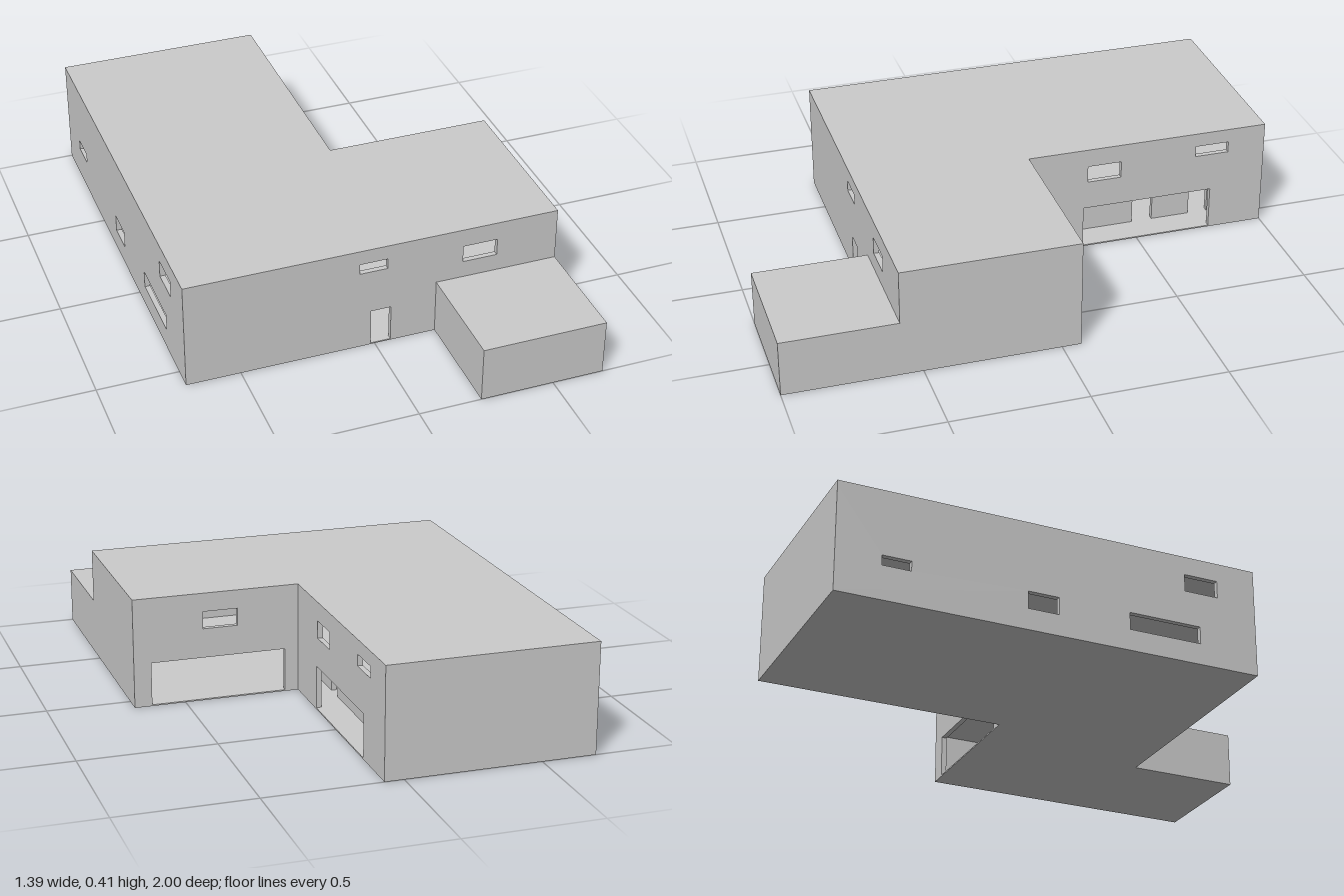
import * as THREE from 'three';

const T = 0.02;          // wall thickness
const FLOOR = 0.005, SLAB = 0.19, EAVES = 0.39, TOP = 0.41;
const mat = new THREE.MeshStandardMaterial({ color: 0xcccccc, flatShading: true });

// Flat wall outline from a to b; openings [a0, a1, y0, y1] with y0 = 0 become doorways
function wallGeometry(a, b, y0, y1, openings) {
  const shape = new THREE.Shape();
  shape.moveTo(a, y0);
  openings.filter(o => o[2] === 0).sort((p, q) => p[0] - q[0]).forEach(([l, r, , h]) => {
    shape.lineTo(l, y0);
    shape.lineTo(l, h);
    shape.lineTo(r, h);
    shape.lineTo(r, y0);
  });
  shape.lineTo(b, y0);
  shape.lineTo(b, y1);
  shape.lineTo(a, y1);
  shape.closePath();
  openings.filter(o => o[2] > 0).forEach(([l, r, lo, hi]) => {
    const hole = new THREE.Path();
    hole.moveTo(l, lo);
    hole.lineTo(l, hi);
    hole.lineTo(r, hi);
    hole.lineTo(r, lo);
    hole.closePath();
    shape.holes.push(hole);
  });
  return new THREE.ExtrudeGeometry(shape, { depth: T, bevelEnabled: false });
}

// L-shaped plate, pulled in from the outer walls by inset
function plateGeometry(inset, thickness) {
  const i = inset;
  const outline = [
    [-0.7 + i, -1 + i], [0.07 - i, -1 + i], [0.07 - i, -0.07 + i],
    [0.69 - i, -0.07 + i], [0.69 - i, 0.58 - i], [-0.7 + i, 0.58 - i],
  ];
  const shape = new THREE.Shape(outline.map(([x, z]) => new THREE.Vector2(x, -z)));
  return new THREE.ExtrudeGeometry(shape, { depth: thickness, bevelEnabled: false }).rotateX(-Math.PI / 2);
}

export function createModel() {
  const model = new THREE.Group();
  model.name = 'house';

  const add = (name, geometry, x = 0, y = 0, z = 0) => {
    const mesh = new THREE.Mesh(geometry, mat);
    mesh.name = name;
    mesh.position.set(x, y, z);
    model.add(mesh);
  };
  // Wall running along x, back face at z
  const wallX = (name, z, a, b, openings = [], y0 = FLOOR, y1 = EAVES) =>
    add(name, wallGeometry(a, b, y0, y1, openings), 0, 0, z);
  // Wall running along z, +x face at x
  const wallZ = (name, x, a, b, openings = [], y0 = FLOOR, y1 = EAVES) =>
    add(name, wallGeometry(a, b, y0, y1, openings).rotateY(-Math.PI / 2), x);

  // Ground floor, upper floor and flat roof
  add('groundFloor', plateGeometry(0, FLOOR));
  add('upperFloor', plateGeometry(T, 0.015), 0, SLAB);
  add('roof', plateGeometry(0, TOP - EAVES), 0, EAVES);

  // Outer walls with their doors and windows
  wallX('frontWall', 0.58 - T, -0.68, 0.67, [
    [-0.015, 0.06, 0, 0.145],
    [-0.06, 0.045, 0.315, 0.355],
    [0.33, 0.46, 0.275, 0.34],
  ]);
  wallZ('longSideWall', -0.7 + T, -1, 0.58, [
    [-0.835, -0.73, 0.128, 0.165],
    [-0.305, -0.19, 0.08, 0.145],
    [0.08, 0.355, 0.08, 0.145],
    [0.3, 0.43, 0.275, 0.34],
  ]);
  wallX('backWall', -1, -0.68, 0.05);
  wallZ('backWingCourtWall', 0.07, -1, -0.07, [
    [-0.79, -0.285, 0, 0.165],
    [-0.43, -0.3, 0.275, 0.34],
    [-0.855, -0.725, 0.315, 0.357],
  ]);
  wallX('sideWingCourtWall', -0.07, 0.05, 0.67, [
    [0.12, 0.625, 0, 0.165],
    [0.3, 0.43, 0.275, 0.34],
  ]);
  wallZ('shortSideWall', 0.69, -0.07, 0.58);

  // Inner partitions: corridor below, rooms and stairwell above
  wallZ('corridorPartition', -0.04, -0.98, 0.05, [
    [-0.825, -0.75, 0, 0.145],
    [-0.6, -0.52, 0, 0.145],
    [-0.2, -0.13, 0, 0.145],
  ], FLOOR, SLAB);
  wallX('upperRoomPartition', 0.25, 0.1, 0.67, [], 0.205, EAVES);
  wallZ('stairwellPartition', -0.08, 0.1, 0.56, [], 0.205, EAVES);

  // Low front annex
  add('annex', new THREE.BoxGeometry(0.46, 0.21, 0.42), 0.46, 0.105, 0.79);

  return model;
}
